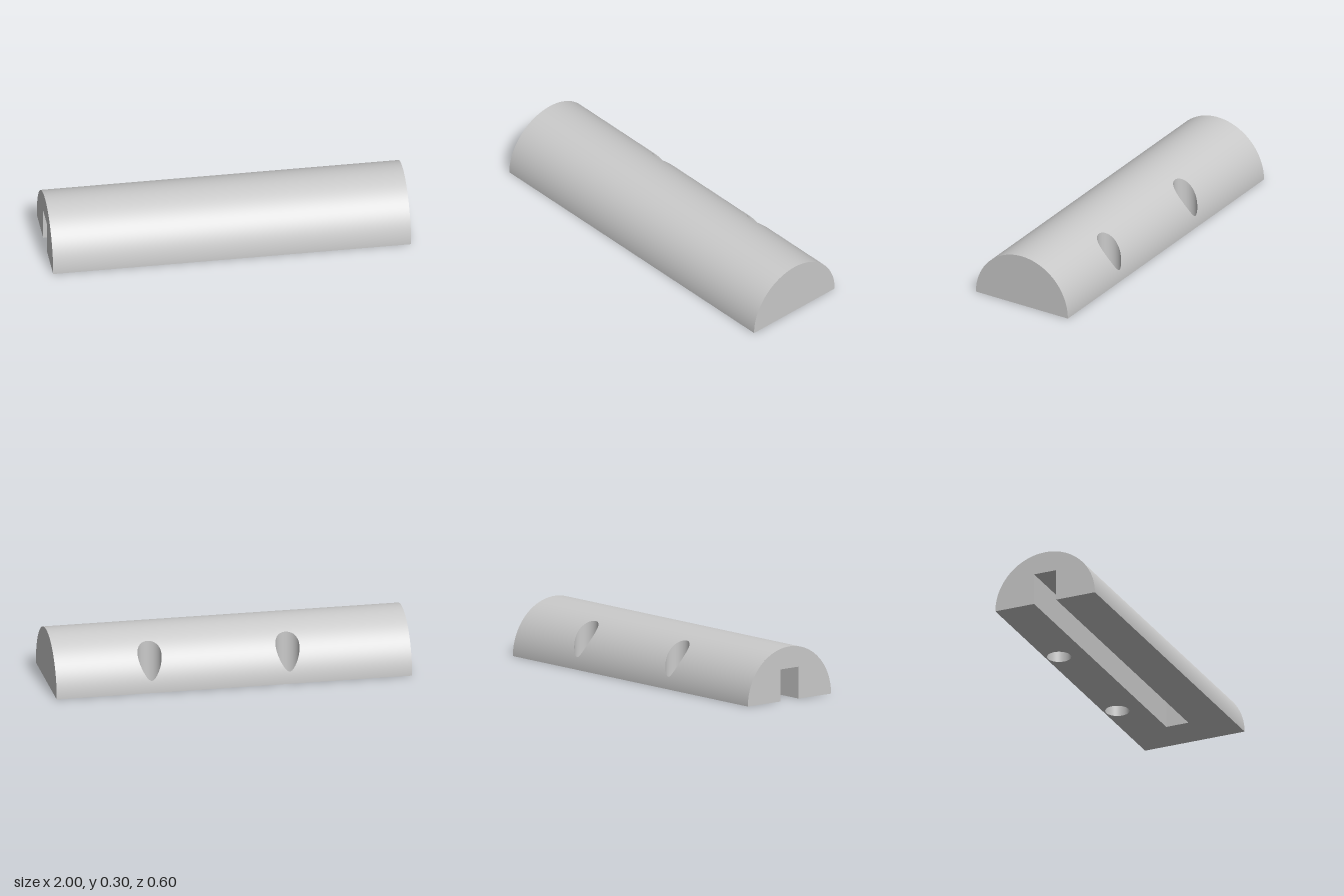
import * as THREE from 'three';

const R = 0.302, HALF = 1;                               // half-round bar
const SLOT = { half: 0.067, height: 0.18, end: 0.766 };  // groove open at the -x end
const HOLE = { xs: [-0.313, 0.463], z: -0.227, r: 0.067 };
const ARC = 96, STEPS = 32;

const arcY = (z) => Math.sqrt(Math.max(0, R * R - z * z));

// Surface through rows of { p, n }; each strip lists its two matching rows.
function stripGeometry(strips) {
  const pos = [], nor = [], idx = [];
  for (const [rowA, rowB] of strips) {
    for (let i = 0; i < rowA.length - 1; i++) {
      const k = pos.length / 3;
      for (const v of [rowA[i], rowA[i + 1], rowB[i + 1], rowB[i]]) {
        pos.push(...v.p);
        nor.push(...v.n);
      }
      idx.push(k, k + 3, k + 1, k + 1, k + 3, k + 2);
    }
  }
  const g = new THREE.BufferGeometry();
  g.setAttribute('position', new THREE.Float32BufferAttribute(pos, 3));
  g.setAttribute('normal', new THREE.Float32BufferAttribute(nor, 3));
  g.setIndex(idx);
  return g;
}

// Curved top, cut into three spans around the two holes
function curvedTop() {
  const zs = [];
  for (let i = 0; i <= ARC; i++) {
    const z = -R * Math.cos((Math.PI * i) / ARC);
    if (Math.abs(z - HOLE.z) > HOLE.r + 0.0005) zs.push(z);
  }
  for (let i = 0; i <= STEPS; i++) zs.push(HOLE.z - HOLE.r * Math.cos((Math.PI * i) / STEPS));
  zs.sort((a, b) => a - b);

  const point = (x, z) => ({ p: [x, arcY(z), z], n: [0, arcY(z) / R, z / R] });
  const strips = [];
  for (let span = 0; span <= HOLE.xs.length; span++) {
    const rows = zs.map((z) => {
      const w = Math.sqrt(Math.max(0, HOLE.r ** 2 - (z - HOLE.z) ** 2));
      const x0 = span === 0 ? -HALF : HOLE.xs[span - 1] + w;
      const x1 = span === HOLE.xs.length ? HALF : HOLE.xs[span] - w;
      return [point(x0, z), point(x1, z)];
    });
    for (let i = 0; i < rows.length - 1; i++) strips.push([rows[i], rows[i + 1]]);
  }
  return stripGeometry(strips);
}

// Upright bore wall, facing its own axis and trimmed to the curved top
function boreWall(cx) {
  const low = [], high = [];
  for (let i = 0; i <= STEPS * 2; i++) {
    const t = (Math.PI * i) / STEPS, c = Math.cos(t), s = Math.sin(t);
    const x = cx + HOLE.r * c, z = HOLE.z + HOLE.r * s, n = [-c, 0, -s];
    low.push({ p: [x, 0, z], n });
    high.push({ p: [x, arcY(z), z], n });
  }
  return stripGeometry([[high, low]]);
}

// Half-disc end, optionally notched by the slot
function endFace(notched) {
  const s = new THREE.Shape();
  s.moveTo(R, 0);
  for (let i = 1; i <= ARC; i++) {
    const a = (Math.PI * i) / ARC;
    s.lineTo(R * Math.cos(a), R * Math.sin(a));
  }
  if (notched) {
    s.lineTo(-SLOT.half, 0);
    s.lineTo(-SLOT.half, SLOT.height);
    s.lineTo(SLOT.half, SLOT.height);
    s.lineTo(SLOT.half, 0);
  }
  return new THREE.ShapeGeometry(s);
}

// Flat underside with the slot and bores left open
function underside() {
  const s = new THREE.Shape([
    [-HALF, -R], [HALF, -R], [HALF, R], [-HALF, R],
    [-HALF, SLOT.half], [SLOT.end, SLOT.half], [SLOT.end, -SLOT.half], [-HALF, -SLOT.half],
  ].map(([x, z]) => new THREE.Vector2(x, z)));
  for (const x of HOLE.xs) {
    s.holes.push(new THREE.Path().absarc(x, HOLE.z, HOLE.r, 0, Math.PI * 2, true));
  }
  return new THREE.ShapeGeometry(s, STEPS).rotateX(Math.PI / 2);
}

export function createModel() {
  const model = new THREE.Group();
  model.name = 'slottedHalfRoundBar';
  const grey = new THREE.MeshStandardMaterial({ color: 0xcacaca });
  grey.name = 'grey';
  const add = (name, geometry) => {
    const mesh = new THREE.Mesh(geometry, grey);
    mesh.name = name;
    model.add(mesh);
  };

  add('curvedTop', curvedTop());
  add('underside', underside());
  add('solidEnd', endFace(false).rotateY(Math.PI / 2).translate(HALF, 0, 0));
  add('slottedEnd', endFace(true).rotateY(-Math.PI / 2).translate(-HALF, 0, 0));
  HOLE.xs.forEach((x, i) => add(`bore${i + 1}`, boreWall(x)));

  // Slot interior
  const length = SLOT.end + HALF, mid = (SLOT.end - HALF) / 2, h = SLOT.height;
  add('slotFrontWall', new THREE.PlaneGeometry(length, h).rotateY(Math.PI).translate(mid, h / 2, SLOT.half));
  add('slotBackWall', new THREE.PlaneGeometry(length, h).translate(mid, h / 2, -SLOT.half));
  add('slotCeiling', new THREE.PlaneGeometry(length, SLOT.half * 2).rotateX(Math.PI / 2).translate(mid, h, 0));
  add('slotEndWall', new THREE.PlaneGeometry(SLOT.half * 2, h).rotateY(-Math.PI / 2).translate(SLOT.end, h / 2, 0));

  return model;
}
